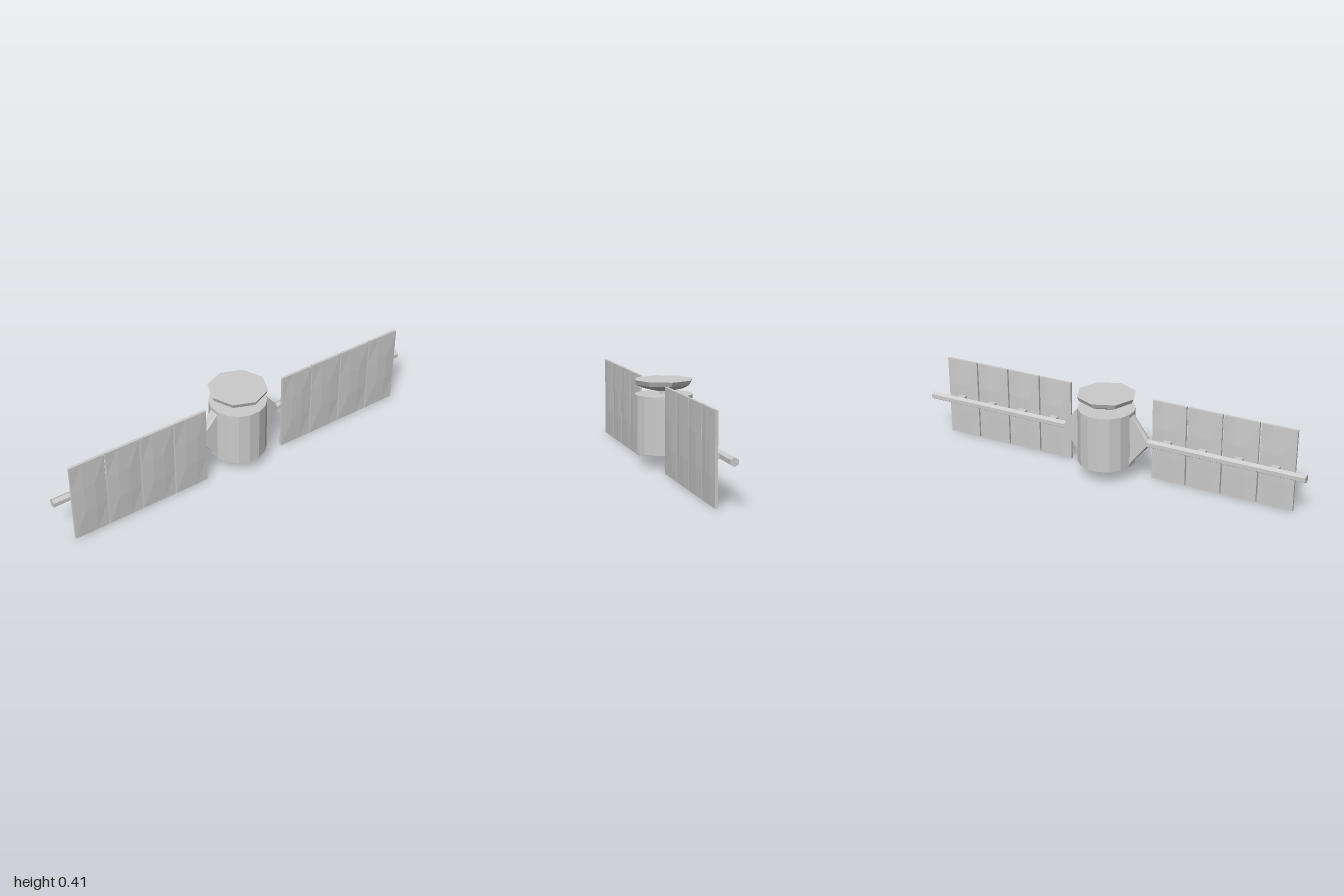
import * as THREE from 'three';

const BOOM_Y = 0.202;

export function createModel() {
  const root = new THREE.Group();
  root.name = 'satellite';
  const mat = new THREE.MeshStandardMaterial({ color: 0xcccccc, flatShading: true });

  const add = (name, geo, x = 0, y = 0, z = 0) => {
    const mesh = new THREE.Mesh(geo, mat);
    mesh.name = name;
    mesh.position.set(x, y, z);
    root.add(mesh);
    return mesh;
  };

  // Hexagonal bar along x with a ridge on top; its far end points to the given side
  const hexBar = (length, side, open) => new THREE.CylinderGeometry(0.02, 0.02, length, 6, 1, open)
    .rotateY(Math.PI / 2).rotateZ(-side * Math.PI / 2);

  // Strut: root flares to a tall slab on the body, tip matches the boom
  const strutGeometry = (side) => {
    const geo = hexBar(0.1, side, true);
    const p = geo.attributes.position;
    for (let i = 0; i < p.count; i++) {
      if (p.getX(i) * side > 0) continue;
      p.setY(i, Math.sign(p.getY(i)) * 0.1375);
      p.setZ(i, Math.round(p.getZ(i) / 0.0173) * 0.027);
    }
    return geo;
  };

  // Solar panel: thin slab whose middle rectangle is raised on both faces
  const panelGeometry = () => {
    const w = 0.172, h = 0.403;
    const geo = new THREE.BoxGeometry(w, h, 0.013, 3, 3, 1);
    const p = geo.attributes.position;
    for (let i = 0; i < p.count; i++) {
      const x = p.getX(i), y = p.getY(i);
      if (Math.abs(x) < w * 0.4 && Math.abs(y) < h * 0.4) {
        p.setZ(i, Math.sign(p.getZ(i)) * 0.011);
      }
    }
    return geo;
  };

  // Body drum
  add('body', new THREE.CylinderGeometry(0.1385, 0.1385, 0.275, 16).rotateY(Math.PI / 16), 0, 0.2025, 0);

  // Antenna dish with closed flat top, on a short neck
  add('dishNeck', new THREE.CylinderGeometry(0.02, 0.02, 0.03, 8), 0, 0.35, 0);
  const profile = [[0, 0.358], [0.053, 0.359], [0.1, 0.371], [0.134, 0.388], [0.144, 0.41], [0, 0.41]]
    .map(([r, y]) => new THREE.Vector2(r, y));
  add('dish', new THREE.LatheGeometry(profile, 8));

  // Wings
  const panel = panelGeometry();
  const clip = new THREE.BoxGeometry(0.037, 0.025, 0.036);
  for (const side of [1, -1]) {
    const label = side > 0 ? 'left' : 'right';
    add(label + 'Strut', strutGeometry(side), side * 0.172, 0.2025, 0);
    add(label + 'Boom', hexBar(0.79, side, false), side * 0.605, BOOM_Y, 0);
    for (let i = 0; i < 4; i++) {
      const x = side * (0.306 + i * 0.1795);
      add(label + 'Panel' + (i + 1), panel, x, 0.2015, 0.0525);
      add(label + 'PanelClip' + (i + 1), clip, x, BOOM_Y, 0.028);
    }
  }
  return root;
}
